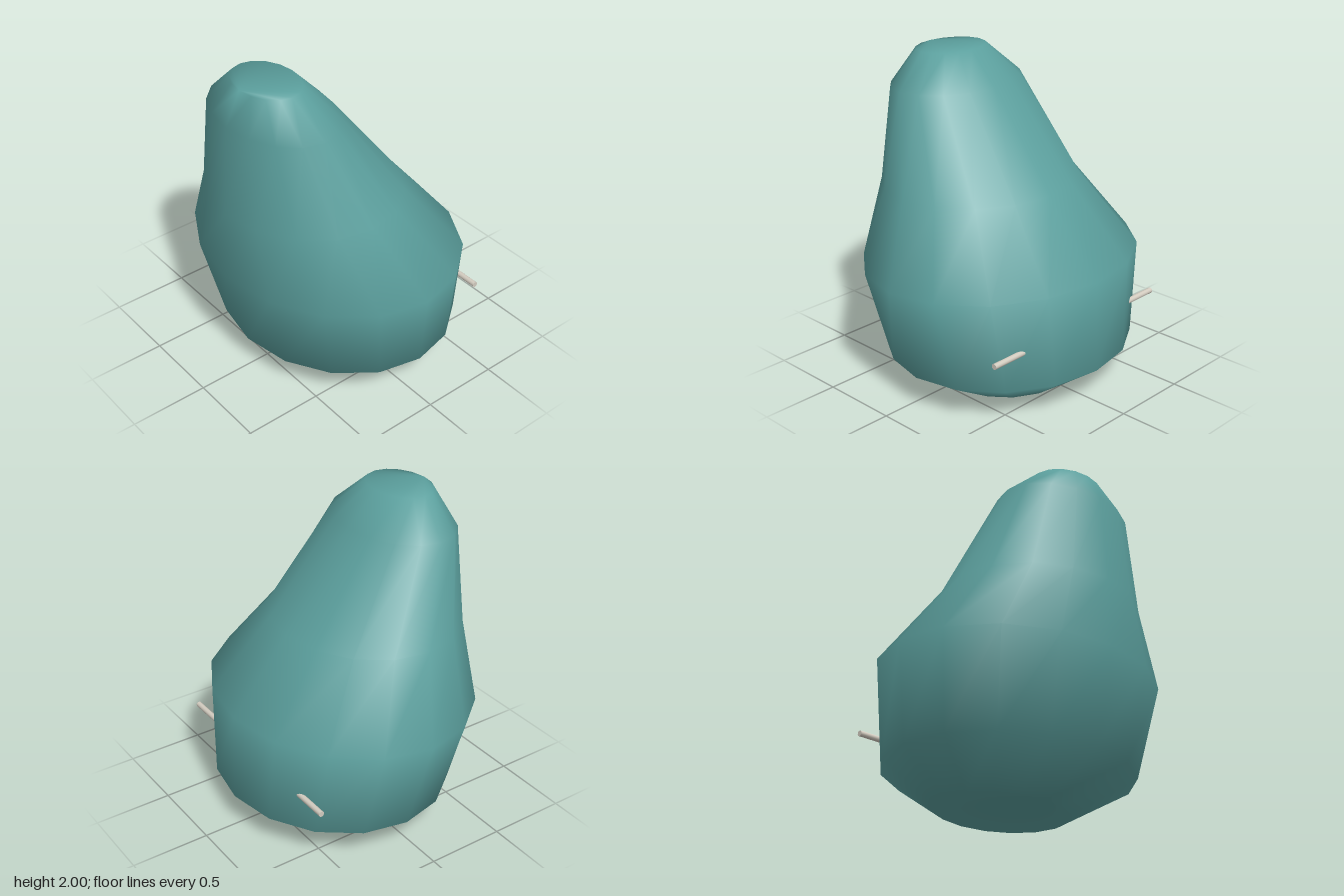
import * as THREE from 'three';

const SIDES = 16;

// Each ring: height, half width, front z, back z
const RINGS = [
  [0, 0.45, 0.235, -0.5],
  [0.21, 0.815, 0.645, -0.785],
  [0.78, 0.935, 0.785, -0.765],
  [1.225, 0.65, 0.765, -0.385],
  [1.8, 0.468, 0.725, 0.07],
  [2, 0.245, 0.625, 0.26],
];

// Smooth closed skin over a stack of elliptical rings
function loft(rings, sides) {
  const points = [];
  const index = [];
  for (const [y, halfWidth, front, back] of rings) {
    const mid = (front + back) / 2;
    const halfDepth = (front - back) / 2;
    for (let i = 0; i < sides; i++) {
      const a = (i / sides) * Math.PI * 2;
      points.push(Math.sin(a) * halfWidth, y, mid + Math.cos(a) * halfDepth);
    }
  }
  // Walls between neighbouring rings
  for (let r = 0; r < rings.length - 1; r++) {
    for (let i = 0; i < sides; i++) {
      const j = (i + 1) % sides;
      const a = r * sides + i, b = r * sides + j;
      index.push(a, b, b + sides, a, b + sides, a + sides);
    }
  }
  // Flat caps at the bottom and the top
  const last = (rings.length - 1) * sides;
  for (let i = 1; i < sides - 1; i++) {
    index.push(0, i + 1, i);
    index.push(last, last + i, last + i + 1);
  }
  const geometry = new THREE.BufferGeometry();
  geometry.setAttribute('position', new THREE.Float32BufferAttribute(points, 3));
  geometry.setIndex(index);
  geometry.computeVertexNormals();
  return geometry;
}

export function createModel() {
  const model = new THREE.Group();
  const teal = new THREE.MeshStandardMaterial({ color: 0x5b9f9d });
  teal.name = 'teal';
  const ivory = new THREE.MeshStandardMaterial({ color: 0xd3ccc0 });
  ivory.name = 'ivory';

  const body = new THREE.Mesh(loft(RINGS, SIDES), teal);
  body.name = 'body';
  model.add(body);

  // Thin rod running across the lower back, both ends sticking out
  const rod = new THREE.Mesh(new THREE.CylinderGeometry(0.018, 0.018, 1.43, 12), ivory);
  rod.name = 'crossRod';
  rod.rotation.z = Math.PI / 2;
  rod.position.set(0, 0.45, -0.62);
  model.add(rod);

  return model;
}
